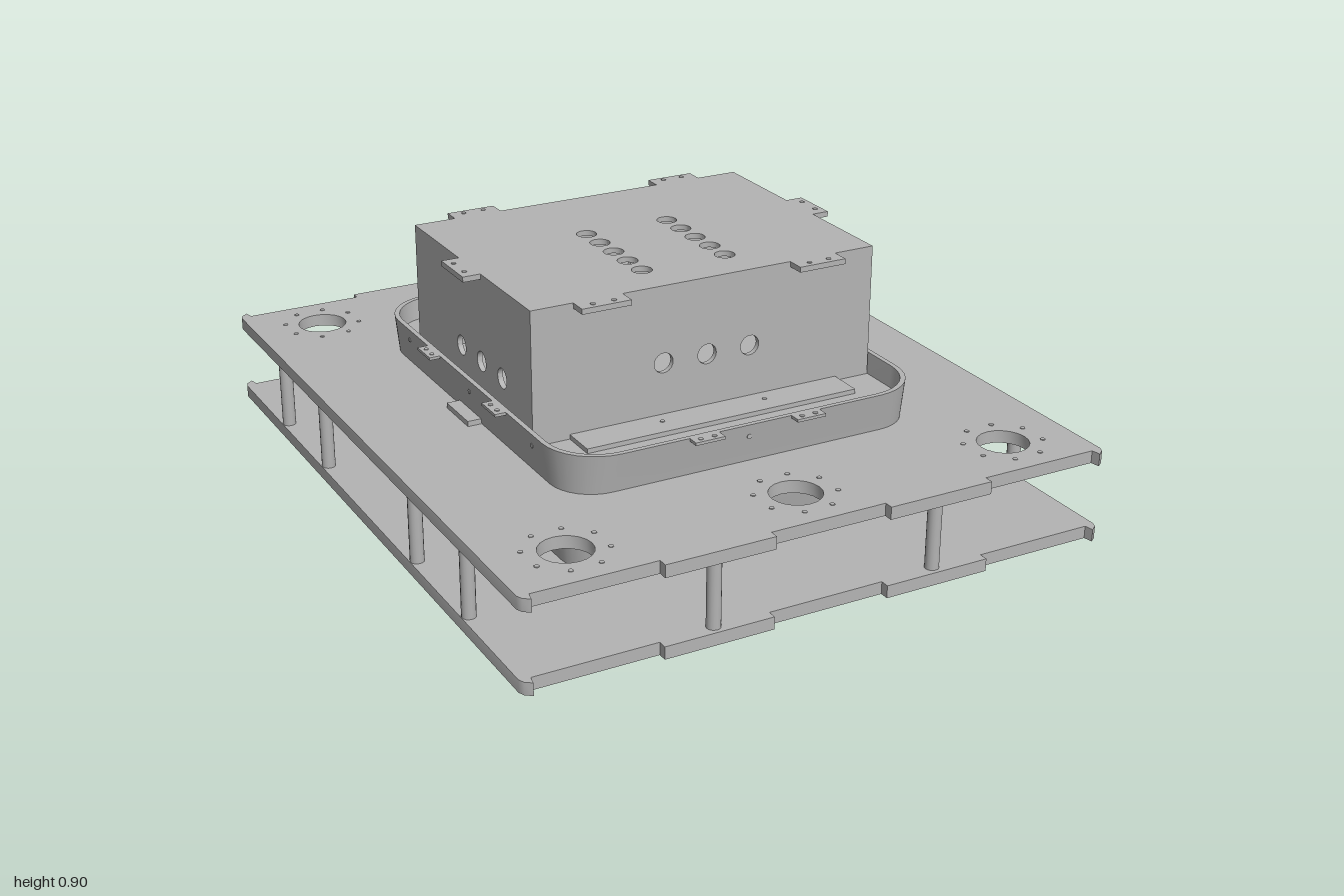
import * as THREE from 'three';
import { toCreasedNormals } from 'three/addons/utils/BufferGeometryUtils.js';

const grey = new THREE.MeshStandardMaterial({ color: 0xb4b4b4 });
grey.name = 'plain grey';

export function createModel() {
  const model = new THREE.Group();
  model.name = 'deckedHousing';

  const add = (name, geometry, x = 0, y = 0, z = 0) => {
    const mesh = new THREE.Mesh(geometry, grey);
    mesh.name = name;
    mesh.position.set(x, y, z);
    model.add(mesh);
    return mesh;
  };
  const box = (name, w, h, d, x, y, z) => add(name, new THREE.BoxGeometry(w, h, d), x, y, z);

  // Round hole path
  const hole = (x, y, r) => new THREE.Path().absarc(x, y, r, 0, Math.PI * 2, true);

  // Rounded rectangle outline, counter-clockwise
  const roundRect = (hx, hy, r, n = 8) => {
    const pts = [];
    [[1, 1], [-1, 1], [-1, -1], [1, -1]].forEach(([sx, sy], q) => {
      for (let i = 0; i <= n; i++) {
        const a = (q + i / n) * Math.PI / 2;
        pts.push(new THREE.Vector2(sx * (hx - r) + r * Math.cos(a), sy * (hy - r) + r * Math.sin(a)));
      }
    });
    return pts;
  };

  // Closed outline from the points of one quadrant
  const mirror4 = (quarter) => {
    const back = [...quarter].reverse();
    const at = (list, sx, sy) => list.map(([x, y]) => new THREE.Vector2(sx * x, sy * y));
    return [...at(quarter, 1, 1), ...at(back, -1, 1), ...at(quarter, -1, -1), ...at(back, 1, -1)];
  };

  const extrude = (points, holes, depth) => {
    const shape = new THREE.Shape(points);
    shape.holes.push(...holes);
    return toCreasedNormals(
      new THREE.ExtrudeGeometry(shape, { depth, bevelEnabled: false, curveSegments: 10 }), 0.6);
  };
  const slab = (name, points, holes, y, thickness) =>
    add(name, extrude(points, holes, thickness).rotateX(-Math.PI / 2), 0, y, 0);

  // Small bolt head lying along an axis
  const bolt = (x, y, z, axis = 'y') => {
    const g = new THREE.CylinderGeometry(0.007, 0.007, 0.004, 8);
    if (axis === 'x') g.rotateZ(Math.PI / 2);
    if (axis === 'z') g.rotateX(Math.PI / 2);
    add('bolt', g, x, y, z);
  };

  // Two deck plates with stepped ends and an opening for the tub
  const deckOutline = mirror4([
    [0.84, 0.97], [0.833, 0.987], [0.815, 1], [0.81, 0.975],
    [0.47, 0.975], [0.47, 1], [0.165, 1], [0.165, 0.975],
  ]);
  const opening = (hx, hz, r) => new THREE.Path(roundRect(hx, hz, r).reverse());
  const portHoles = [];
  for (const x of [-0.64, 0, 0.64]) {
    for (const z of [-0.82, 0.82]) {
      portHoles.push(hole(x, z, 0.07));
      for (let i = 0; i < 8; i++) {
        const a = (i + 0.45) * Math.PI / 4;
        bolt(x + 0.108 * Math.cos(a), 0.475, z + 0.108 * Math.sin(a));
      }
    }
  }
  slab('lowerDeck', deckOutline, [opening(0.485, 0.56, 0.07)], 0.22, 0.035);
  slab('upperDeck', deckOutline, [opening(0.512, 0.592, 0.11), ...portHoles], 0.44, 0.035);

  // Posts between the decks
  const post = (x, z) => add('post', new THREE.CylinderGeometry(0.019, 0.019, 0.185, 16), x, 0.3475, z);
  for (const s of [-1, 1]) {
    for (const z of [-0.645, -0.32, 0.32, 0.645]) post(s * 0.82, z);
    for (const x of [-0.32, 0.32]) post(x, s * 0.97);
    post(0, s * 0.65);
  }

  // Tub lofted through rounded sections: recess, underside, outer wall, rim, inner wall
  const sections = [
    [0.03, 0.39, 0.44, 0.01], [0, 0.39, 0.44, 0.01], [0, 0.447, 0.502, 0.02],
    [0.24, 0.492, 0.566, 0.08], [0.48, 0.52, 0.603, 0.12], [0.585, 0.533, 0.622, 0.15],
    [0.585, 0.519, 0.608, 0.138], [0.48, 0.506, 0.589, 0.108],
    [0.24, 0.478, 0.552, 0.068], [0.04, 0.438, 0.493, 0.02],
  ];
  const positions = [];
  const index = [];
  const count = roundRect(1, 1, 0.1).length;
  sections.forEach(([y, hx, hz, r], i) => {
    roundRect(hx, hz, r).forEach((p, j) => {
      positions.push(p.x, y, p.y);
      if (i === sections.length - 1) return;
      const a = i * count + j;
      const b = i * count + (j + 1) % count;
      index.push(a, a + count, b, b, a + count, b + count);
    });
  });
  const tub = new THREE.BufferGeometry();
  tub.setAttribute('position', new THREE.Float32BufferAttribute(positions, 3));
  tub.setIndex(index);
  add('tub', toCreasedNormals(tub, 0.6));
  box('tubFloor', 0.87, 0.012, 0.98, 0, 0.036, 0);

  // Inner deck just below the rim, with a cable hole at the back
  slab('innerDeck', roundRect(0.511, 0.597, 0.12), [hole(0, 0.525, 0.028)], 0.515, 0.012);

  // Rim tabs and locating tabs on the upper deck
  for (const s of [-1, 1]) {
    for (const t of [-1, 1]) {
      box('rimTab', 0.085, 0.008, 0.04, t * 0.15, 0.581, s * 0.633);
      box('rimTab', 0.04, 0.008, 0.085, s * 0.543, 0.581, t * 0.215);
      for (const d of [-0.02, 0.02]) {
        bolt(t * 0.15 + d, 0.585, s * 0.637);
        bolt(s * 0.547, 0.585, t * 0.215 + d);
      }
    }
    box('deckTab', 0.06, 0.015, 0.14, s * 0.53, 0.4825, 0);
  }

  // Bolts down the tub walls
  const wallAt = (y, column) => {
    const i = y < 0.24 ? 2 : y < 0.48 ? 3 : 4;
    const [a, b] = [sections[i], sections[i + 1]];
    return THREE.MathUtils.lerp(a[column], b[column], (y - a[0]) / (b[0] - a[0]));
  };
  for (const s of [-1, 1]) {
    for (const y of [0.05, 0.12, 0.19, 0.34, 0.41, 0.55]) {
      bolt(-0.015, y, s * wallAt(y, 2), 'z');
      for (const z of [-0.4, 0.015, 0.405]) bolt(s * wallAt(y, 1), y, z, 'x');
    }
    for (const u of [-0.28, -0.12, 0.12, 0.28]) {
      bolt(u, 0.28, s * wallAt(0.28, 2), 'z');
      bolt(s * wallAt(0.28, 1), 0.28, u, 'x');
    }
  }

  // Upper box walls
  const panel = (hw, y0, y1) => [[-hw, y0], [hw, y0], [hw, y1], [-hw, y1]].map((p) => new THREE.Vector2(...p));
  const vents = [-0.13, 0, 0.13].map((x) => hole(x, 0.685, 0.028));
  add('boxFront', extrude(panel(0.51, 0.527, 0.885), vents, 0.015), 0, 0, 0.355);
  add('boxBack', extrude(panel(0.51, 0.527, 0.885), vents, 0.015), 0, 0, -0.37);
  const sideVents = [-0.19, -0.06, 0.07].map((x) => hole(x, 0.65, 0.028));
  add('boxRightWall', extrude(panel(0.355, 0.527, 0.885), sideVents, 0.015).rotateY(Math.PI / 2), -0.51, 0, 0);
  add('boxLeftWall', extrude(panel(0.355, 0.527, 0.885), [], 0.015).rotateY(Math.PI / 2), 0.495, 0, 0);

  // Bolted access cover on one side
  add('accessCover', extrude(roundRect(0.335, 0.15, 0.03), [], 0.008).rotateY(Math.PI / 2), 0.51, 0.714, 0);
  for (const z of [-0.22, 0, 0.22]) bolt(0.518, 0.85, z, 'x');
  for (const z of [-0.32, 0.32]) for (const y of [0.6, 0.76]) bolt(0.518, y, z, 'x');

  // Lid with fixing tabs and two rows of holes
  const lidHoles = [];
  for (const x of [-0.125, 0.125]) {
    for (let i = 0; i < 5; i++) lidHoles.push(hole(x, 0.08 - i * 0.08, 0.028));
  }
  const lidOutline = mirror4([
    [0.56, 0.07], [0.51, 0.07], [0.51, 0.37], [0.39, 0.37], [0.39, 0.42], [0.25, 0.42], [0.25, 0.37],
  ]);
  slab('lid', lidOutline, lidHoles, 0.885, 0.015);

  // Foot flanges of the box and remaining bolts
  for (const s of [-1, 1]) {
    box('footFlange', 0.81, 0.013, 0.1, 0, 0.5335, s * 0.42);
    for (const t of [-1, 1]) {
      bolt(t * 0.155, 0.54, s * 0.41);
      bolt(s * 0.54, 0.9, t * 0.035);
      for (const x of [0.29, 0.35]) bolt(t * x, 0.9, s * 0.4);
    }
  }

  return model;
}
